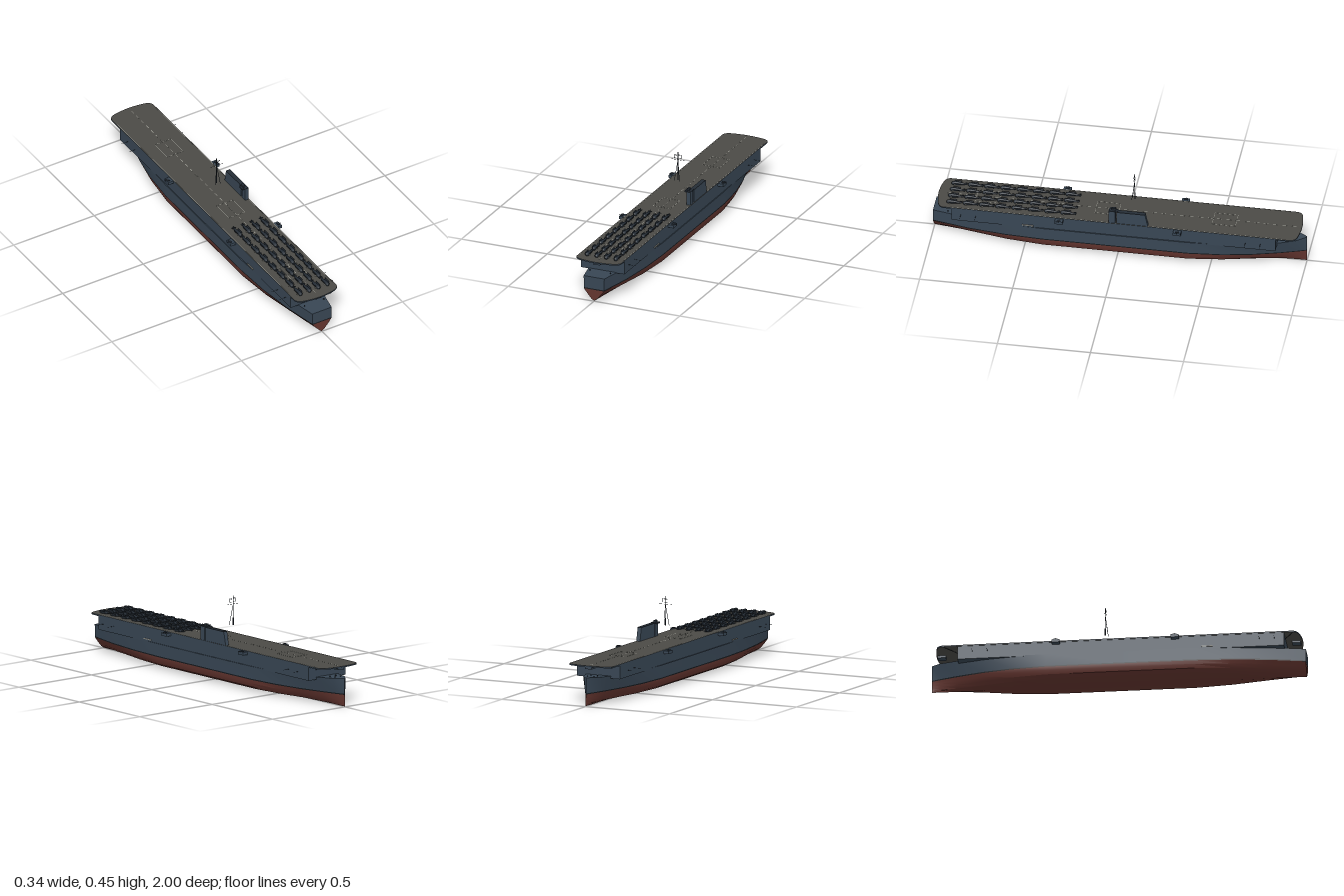
import * as THREE from 'three';
import { toCreasedNormals } from 'three/addons/utils/BufferGeometryUtils.js';

const mat = (color) => new THREE.MeshStandardMaterial({ color, side: THREE.DoubleSide });
const SLATE = mat(0x384654), RED = mat(0x64352f), BLACK = mat(0x15191d);
const DECK = mat(0x4b4a46), DARK = mat(0x252d36), LINE = mat(0x9a9a92);

function add(parent, name, geometry, material, x = 0, y = 0, z = 0) {
  const mesh = new THREE.Mesh(geometry, material);
  mesh.name = name;
  mesh.position.set(x, y, z);
  parent.add(mesh);
  return mesh;
}
const box = (parent, name, m, w, h, d, x, y, z) =>
  add(parent, name, new THREE.BoxGeometry(w, h, d), m, x, y, z);

// Thin round bar between two points
function rod(parent, name, a, b, r = 0.0012, m = DARK) {
  const p = new THREE.Vector3(...a), q = new THREE.Vector3(...b), d = q.clone().sub(p);
  const mesh = add(parent, name, new THREE.CylinderGeometry(r, r, d.length(), 6), m);
  mesh.position.copy(p).add(q).multiplyScalar(0.5);
  mesh.quaternion.setFromUnitVectors(new THREE.Vector3(0, 1, 0), d.normalize());
  return mesh;
}

// Surface through rows of points
function grid(rows) {
  const n = rows[0].length, index = [];
  for (let i = 0; i < rows.length - 1; i++)
    for (let j = 0; j < n - 1; j++) {
      const a = i * n + j, b = a + n;
      index.push(a, b, a + 1, b, b + 1, a + 1);
    }
  const g = new THREE.BufferGeometry();
  g.setAttribute('position', new THREE.Float32BufferAttribute(rows.flat(2), 3));
  g.setIndex(index);
  return toCreasedNormals(g, 0.45);
}

// Hull stations, stern to bow: z, top half-beam, waterline half-beam, fullness, top height
const STATIONS = [
  [1, 0.06, 0.058, 0, 0.137], [0.8, 0.1, 0.098, 0.4, 0.137], [0.6, 0.123, 0.122, 0.8, 0.137],
  [0.4, 0.132, 0.132, 1, 0.137], [0, 0.132, 0.132, 1, 0.137], [-0.38, 0.132, 0.132, 1, 0.138],
  [-0.56, 0.124, 0.116, 0.85, 0.14], [-0.72, 0.104, 0.086, 0.55, 0.143],
  [-0.86, 0.072, 0.048, 0.25, 0.148], [-0.95, 0.04, 0.019, 0.1, 0.152], [-0.999, 0.004, 0.002, 0, 0.155],
];
const FULL = [[0, 0], [0.74, 0.011], [0.92, 0.025], [0.99, 0.045], [1, 0.065]];
const VEE = [[0, 0.002], [0.26, 0.013], [0.52, 0.03], [0.78, 0.048], [1, 0.065]];

function halfSection([z, top, wl, full, h]) {
  const lerp = THREE.MathUtils.lerp;
  const pts = FULL.map((p, k) => [wl * lerp(VEE[k][0], p[0], full), lerp(VEE[k][1], p[1], full), z]);
  return [...pts, [lerp(wl, top, 0.08), 0.071, z], [top, h, z]];
}

function buildHull(root) {
  const hull = new THREE.Group();
  hull.name = 'hull';
  root.add(hull);
  const sections = STATIONS.map(halfSection);
  const flip = ([x, y, z]) => [-x, y, z];
  add(hull, 'lowerHull', grid(sections.map((s) =>
    [...s.slice(1, 5).reverse().map(flip), ...s.slice(0, 5)])), RED);
  for (const [name, from, m] of [['bootStripe', 4, BLACK], ['upperHull', 5, SLATE]]) {
    add(hull, name, grid(sections.map((s) => [s[from], s[from + 1]])), m);
    add(hull, name, grid(sections.map((s) => [flip(s[from + 1]), flip(s[from])])), m);
  }
  add(hull, 'weatherDeck', grid(sections.map((s) => [s[6], flip(s[6])])), SLATE);
  // Flat transom in the same colour bands
  for (const [from, to, m] of [[0, 4, RED], [4, 5, BLACK], [5, 6, SLATE]])
    add(hull, 'transom', grid(sections[0].slice(from, to + 1).map((p) => [p, flip(p)])), m);
}

function buildFlightDeck(root) {
  box(root, 'hangar', SLATE, 0.254, 0.076, 1.74, 0, 0.172, 0.02);
  // Plan with bowed ends; shape y becomes -z
  const s = new THREE.Shape();
  s.moveTo(0.13, -0.935);
  s.lineTo(0.13, 0.93);
  s.quadraticCurveTo(0.125, 0.955, 0.1, 0.962);
  s.quadraticCurveTo(0, 0.985, -0.1, 0.962);
  s.quadraticCurveTo(-0.125, 0.955, -0.13, 0.93);
  s.lineTo(-0.13, -0.935);
  s.quadraticCurveTo(-0.125, -0.96, -0.09, -0.968);
  s.quadraticCurveTo(0, -0.99, 0.09, -0.968);
  s.quadraticCurveTo(0.125, -0.96, 0.13, -0.935);
  const g = new THREE.ExtrudeGeometry(s, { depth: 0.007, bevelEnabled: false, curveSegments: 10 });
  g.rotateX(-Math.PI / 2);
  add(root, 'flightDeck', g, [DECK, SLATE], 0, 0.208, 0);

  // Painted markings
  const y = 0.2153, t = 0.0008;
  for (let z = -0.93; z < 0.93; z += 0.05) box(root, 'centreDash', LINE, 0.003, t, 0.026, 0, y, z);
  for (const z of [-0.56, 0.07, 0.71])
    for (const e of [-1, 1]) {
      box(root, 'liftOutline', LINE, 0.0018, t, 0.125, e * 0.05, y, z);
      box(root, 'liftOutline', LINE, 0.1, t, 0.0018, 0, y, z + e * 0.0625);
    }
  for (const e of [-1, 1]) {
    box(root, 'deckEdgeLine', LINE, 0.0015, t, 1.8, e * 0.126, y, 0);
    // Braces and small galleries below the overhanging ends
    rod(root, 'deckBrace', [e * 0.075, 0.187, 0.885], [e * 0.127, 0.21, 0.94], 0.0015);
    rod(root, 'deckBrace', [e * 0.075, 0.187, -0.845], [e * 0.127, 0.21, -0.93], 0.0015);
    box(root, 'endGallery', SLATE, 0.04, 0.012, 0.045, 0, 0.202, e * 0.945);
  }
}

function buildIsland(root) {
  const island = new THREE.Group();
  island.name = 'island';
  root.add(island);
  // Side outline in z and y, with a raked after edge
  const s = new THREE.Shape([[0.002, 0.213], [-0.165, 0.213], [-0.15, 0.285], [0.002, 0.285]]
    .map(([z, y]) => new THREE.Vector2(-z, y)));
  const g = new THREE.ExtrudeGeometry(s, { depth: 0.022, bevelEnabled: false });
  g.rotateY(Math.PI / 2);
  add(island, 'islandBody', g, SLATE, 0.105, 0, 0);
  box(island, 'bridgeTower', SLATE, 0.022, 0.073, 0.035, 0.116, 0.2505, 0.028);
  box(island, 'bridgeRoof', DARK, 0.026, 0.006, 0.048, 0.113, 0.288, 0.022);
  box(island, 'bridgeWing', DARK, 0.014, 0.008, 0.03, 0.097, 0.288, 0.025);
  box(island, 'lookout', DARK, 0.014, 0.012, 0.022, 0.107, 0.296, 0.02);
  box(island, 'islandCap', DARK, 0.024, 0.003, 0.15, 0.116, 0.2865, -0.074);
}

function buildMast(root) {
  const mast = new THREE.Group();
  mast.name = 'mast';
  mast.position.z = -0.075;
  root.add(mast);
  rod(mast, 'mastPole', [0, 0.295, 0], [0, 0.455, 0], 0.0018);
  rod(mast, 'mastBase', [0, 0.295, 0], [0, 0.335, 0], 0.003);
  for (const e of [-1, 1]) {
    rod(mast, 'tripodLeg', [e * 0.015, 0.295, 0.015], [0, 0.41, 0], 0.0013);
    rod(mast, 'radarFrame', [e * 0.02, 0.42, 0.004], [e * 0.02, 0.441, 0.004], 0.0007);
  }
  rod(mast, 'yardArm', [-0.04, 0.41, 0], [0.04, 0.41, 0], 0.0008);
  for (const y of [0.42, 0.436, 0.441])
    rod(mast, 'radarFrame', [-0.02, y, 0.004], [0.02, y, 0.004], 0.0007);
}

// Parked aircraft with folded wings, nose toward +z
function aircraft() {
  const plane = new THREE.Group();
  plane.name = 'aircraft';
  const body = new THREE.LatheGeometry([[0, -0.05], [0.003, -0.048], [0.008, -0.01], [0.0105, 0.015],
    [0.0105, 0.028], [0.006, 0.034], [0, 0.036]].map((p) => new THREE.Vector2(...p)), 10);
  body.rotateX(Math.PI / 2);
  add(plane, 'fuselage', body, DARK, 0, 0.0075, 0);
  for (const e of [-1, 1]) {
    const wing = box(plane, 'foldedWing', DARK, 0.0015, 0.011, 0.038, e * 0.012, 0.011, 0);
    wing.rotation.z = e * -0.35;
    box(plane, 'wingRoot', LINE, 0.008, 0.0015, 0.008, e * 0.0135, 0.006, 0.017);
  }
  box(plane, 'tailplane', DARK, 0.022, 0.0012, 0.009, 0, 0.009, -0.043);
  box(plane, 'tailFin', DARK, 0.0012, 0.009, 0.01, 0, 0.012, -0.043);
  return plane;
}

function buildSideFittings(root) {
  for (const e of [-1, 1]) {
    for (const z of [-0.325, 0.31]) {
      box(root, 'gunSponson', SLATE, 0.032, 0.016, 0.042, e * 0.143, 0.203, z);
      box(root, 'gunMount', DARK, 0.014, 0.006, 0.02, e * 0.15, 0.2125, z);
      rod(root, 'gunBarrel', [e * 0.15, 0.212, z], [e * 0.166, 0.212, z], 0.0014);
    }
    for (const z of [-0.77, -0.69, 0.76, 0.84])
      rod(root, 'whipAerial', [e * 0.127, 0.172, z], [e * 0.17, 0.172, z], 0.0008);
    for (const z of [0.85, 0.92]) rod(root, 'mooringPost', [e * 0.06, 0.136, z], [e * 0.06, 0.143, z], 0.003);
    for (const z of [-0.9, -0.94]) rod(root, 'mooringPost', [e * 0.02, 0.148, z], [e * 0.02, 0.157, z], 0.003);
    box(root, 'boardingLadder', LINE, 0.004, 0.005, 0.06, e * 0.129, 0.147, 0.48);
  }
}

export function createModel() {
  const root = new THREE.Group();
  root.name = 'aircraftCarrier';
  buildHull(root);
  buildFlightDeck(root);
  buildIsland(root);
  buildMast(root);
  buildSideFittings(root);
  for (let row = 0; row < 8; row++)
    for (let col = 0; col < 4; col++) {
      const plane = aircraft();
      plane.position.set(-0.08 + col * 0.0557, 0.2155, 0.275 + row * 0.0875);
      root.add(plane);
    }
  return root;
}
